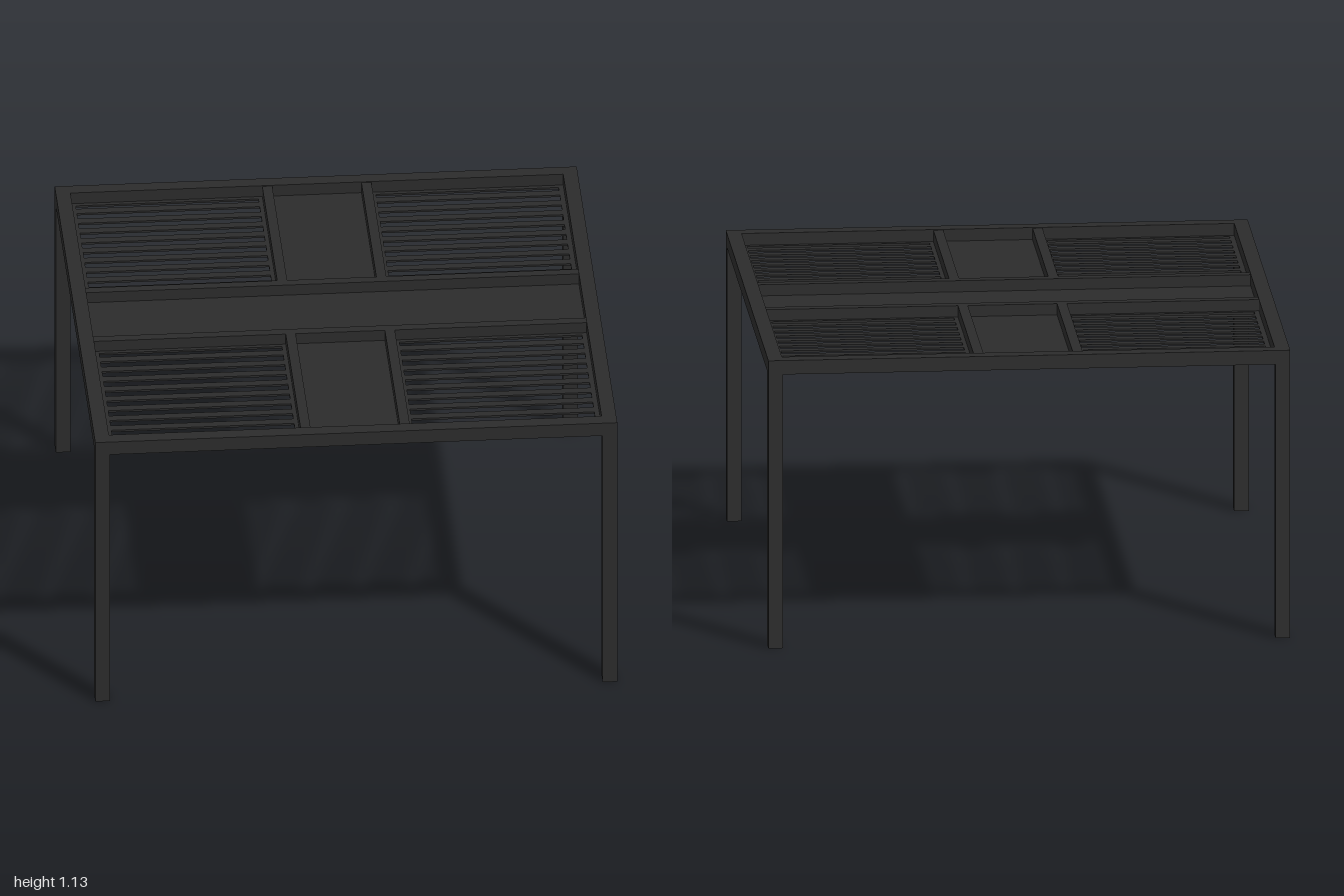
import * as THREE from 'three';

const TOP = 1.135, BOTTOM = 1.08, POST = 0.056, INNER = 1 - POST;

function rect(path, x0, z0, x1, z1) {
  path.moveTo(x0, z0);
  path.lineTo(x1, z0);
  path.lineTo(x1, z1);
  path.lineTo(x0, z1);
  path.closePath();
  return path;
}

// Horizontal slab from a plan shape, with its underside at height y
function slab(shape, thickness, y) {
  const g = new THREE.ExtrudeGeometry(shape, { depth: thickness, bevelEnabled: false });
  g.rotateX(-Math.PI / 2);
  g.translate(0, y, 0);
  return g;
}

export function createModel() {
  const model = new THREE.Group();
  model.name = 'pergola';
  const metal = new THREE.MeshStandardMaterial({ color: 0x2b2b2b });
  metal.name = 'charcoal metal';

  const add = (name, geometry, x = 0, y = 0, z = 0) => {
    const mesh = new THREE.Mesh(geometry, metal);
    mesh.name = name;
    mesh.position.set(x, y, z);
    model.add(mesh);
  };

  // Corner posts
  const postGeometry = new THREE.BoxGeometry(POST, BOTTOM, POST);
  const c = 1 - POST / 2;
  for (const sx of [-1, 1]) for (const sz of [-1, 1]) {
    add('cornerPost', postGeometry, sx * c, BOTTOM / 2, sz * c);
  }

  // Square roof frame
  const frame = rect(new THREE.Shape(), -1, -1, 1, 1);
  frame.holes.push(rect(new THREE.Path(), -INNER, -INNER, INNER, INNER));
  add('roofFrame', slab(frame, TOP - BOTTOM, BOTTOM));

  // Thin roof sheet: solid cross with a louvred opening in each quarter
  const sheet = rect(new THREE.Shape(), -INNER, -INNER, INNER, INNER);
  const pitch = 0.0764, slat = 0.036, first = 0.273;
  for (const sx of [-1, 1]) for (const sz of [-1, 1]) {
    for (let i = 0; i < 10; i++) {
      const a = i === 0 ? 0.226 : first + (i - 1) * pitch + slat / 2;
      const b = i === 9 ? 0.926 : first + i * pitch - slat / 2;
      sheet.holes.push(rect(new THREE.Path(), sx * 0.225, sz * a, sx * 0.925, sz * b));
    }
  }
  const sheetThickness = 0.008;
  add('louvredRoofSheet', slab(sheet, sheetThickness, BOTTOM));

  // Beams edging the solid cross
  const beamBase = BOTTOM + sheetThickness, beamTop = 1.132;
  const h = beamTop - beamBase, y = (beamTop + beamBase) / 2;
  const width = 0.038, offset = 0.19, end = offset + width / 2;
  const longBeam = new THREE.BoxGeometry(2 * INNER, h, width);
  const shortBeam = new THREE.BoxGeometry(width, h, INNER - end);
  for (const s of [-1, 1]) {
    add('crossBeam', longBeam, 0, y, s * offset);
    for (const sx of [-1, 1]) {
      add('shortBeam', shortBeam, sx * offset, y, s * (INNER + end) / 2);
    }
  }
  return model;
}
